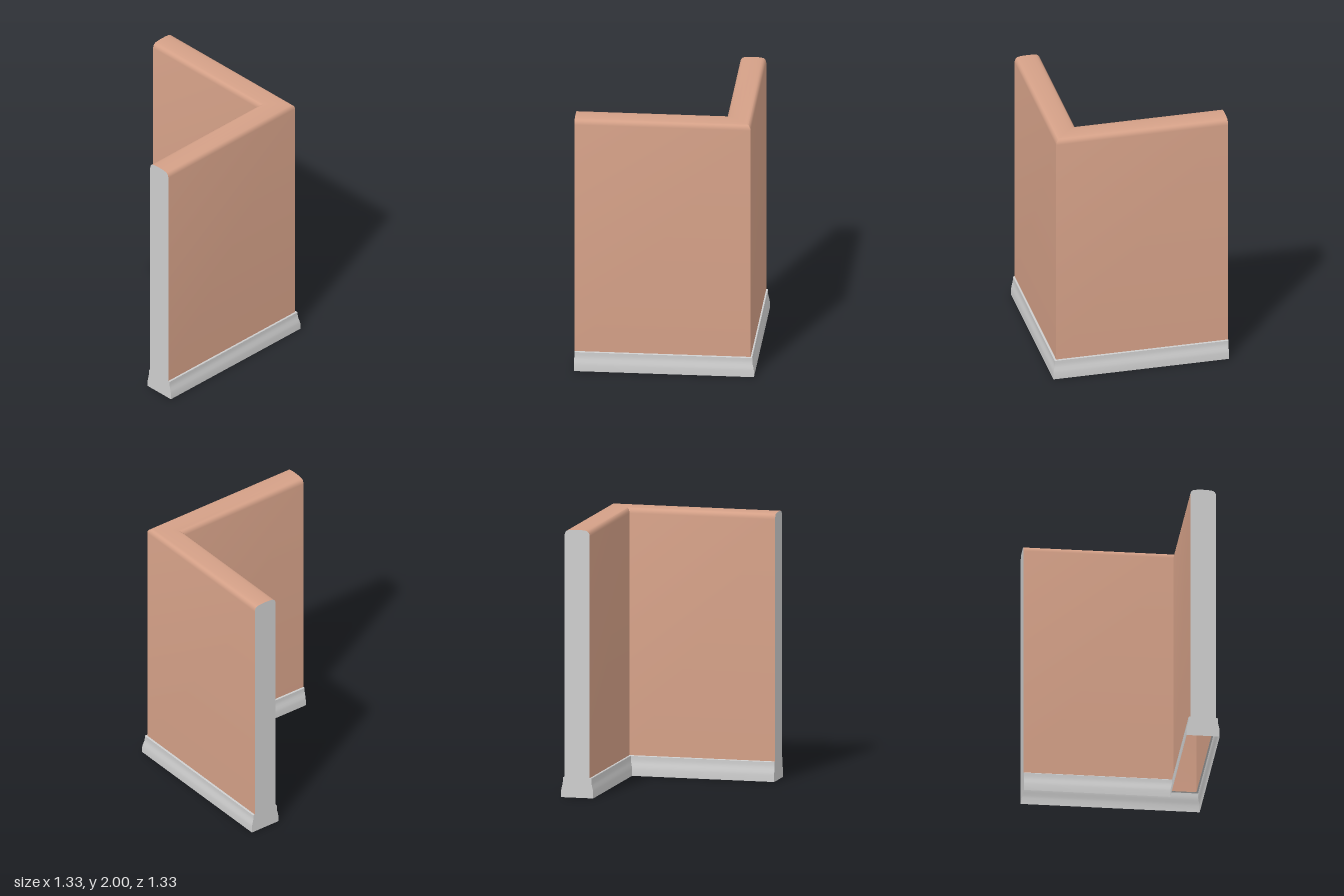
import * as THREE from 'three';
import { toCreasedNormals } from 'three/addons/utils/BufferGeometryUtils.js';

const END = 0.665; // where both legs of the corner stop
const MID = 0.5425; // centre line of the wall thickness

// Profiles as [offset from the centre line, height], outer side, going up
const skirtingHalf = [
  [0.1225, 0], [0.1225, 0.05], [0.119, 0.07], [0.114, 0.09], [0.110, 0.108],
  [0.109, 0.125], [0.109, 0.146], [0.106, 0.15], [0.096, 0.15],
];
const wallHalf = [
  [0.096, 0.15], [0.096, 1.955], [0.0935, 1.97], [0.087, 1.983],
  [0.077, 1.992], [0.062, 1.996], [0.035, 1.999], [0, 2],
];

const outer = (half) => half.map(([o, y]) => [MID + o, y]);
const inner = (half) => half.map(([o, y]) => [MID - o, y]).reverse();

// Sweep a profile along the L-shaped path with a mitred corner
function sweepCorner(profile) {
  const pos = [];
  const stations = [
    ([u, y]) => [u, y, END],
    ([u, y]) => [u, y, -u],
    ([u, y]) => [-END, y, -u],
  ];
  for (let i = 0; i < profile.length - 1; i++) {
    for (let s = 0; s < 2; s++) {
      const a = stations[s](profile[i]);
      const b = stations[s + 1](profile[i]);
      const c = stations[s + 1](profile[i + 1]);
      const d = stations[s](profile[i + 1]);
      pos.push(...a, ...b, ...c, ...a, ...c, ...d);
    }
  }
  const geo = new THREE.BufferGeometry();
  geo.setAttribute('position', new THREE.Float32BufferAttribute(pos, 3));
  return toCreasedNormals(geo, 0.6);
}

export function createModel() {
  const group = new THREE.Group();
  const terracotta = new THREE.MeshStandardMaterial({ color: 0xd4a087, side: THREE.DoubleSide });
  terracotta.name = 'terracotta';
  const paleGrey = new THREE.MeshStandardMaterial({ color: 0xcecece, side: THREE.DoubleSide });
  paleGrey.name = 'paleGrey';

  const add = (name, geo, mat) => {
    const mesh = new THREE.Mesh(geo, mat);
    mesh.name = name;
    group.add(mesh);
    return mesh;
  };

  // Painted wall with rounded top, hollow and open underneath
  const wallProfile = [...outer(wallHalf), ...inner(wallHalf).slice(1)];
  add('wall', sweepCorner(wallProfile), terracotta);

  // Skirting boards on both sides
  add('outerSkirting', sweepCorner(outer(skirtingHalf)), paleGrey);
  add('innerSkirting', sweepCorner(inner(skirtingHalf)), paleGrey);

  // Flat end caps covering the full cross-section
  const section = [...outer(skirtingHalf), ...wallProfile.slice(1, -1), ...inner(skirtingHalf)];
  const capShape = new THREE.Shape(section.map(([u, y]) => new THREE.Vector2(u, y)));
  const frontCap = add('frontEndCap', new THREE.ShapeGeometry(capShape), paleGrey);
  frontCap.position.z = END;
  const sideCap = add('sideEndCap', new THREE.ShapeGeometry(capShape), paleGrey);
  sideCap.rotation.y = Math.PI / 2;
  sideCap.position.x = -END;

  return group;
}
